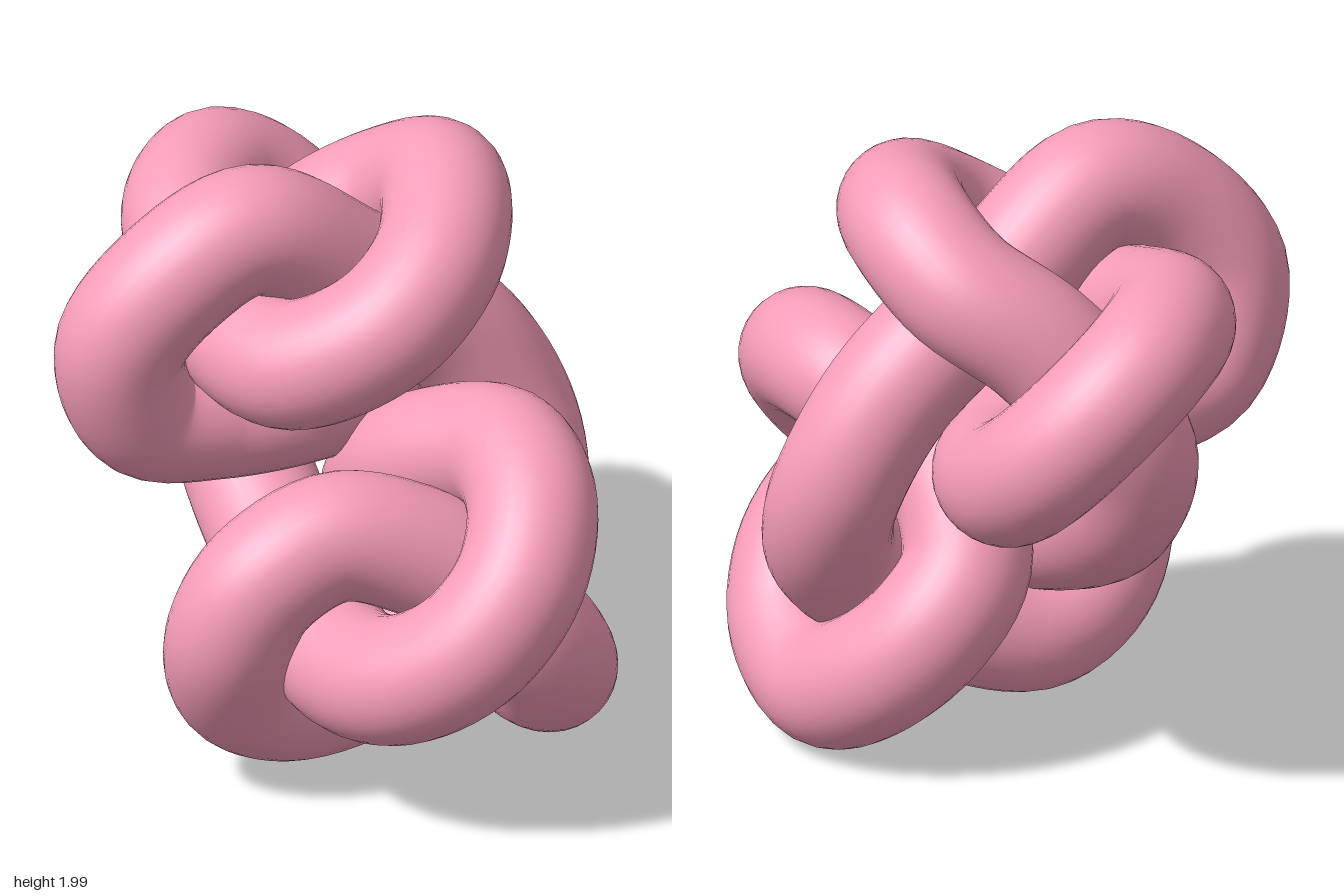
import * as THREE from 'three';

// Centre line of one closed, tightly pulled knot
const path = [
  // upper front band
  [-0.28, 1.41, 0], [-0.13, 1.56, 0.24], [0.1, 1.71, 0.26],
  [0.36, 1.79, 0.06], [0.425, 1.68, -0.17], [0.31, 1.5, -0.41],
  // drop down the back
  [0.13, 1.14, -0.61], [0.04, 0.86, -0.49], [-0.19, 0.58, -0.06],
  // lower front band
  [-0.34, 0.48, 0.25], [-0.385, 0.53, 0.52], [-0.3, 0.68, 0.73], [-0.15, 0.87, 0.8],
  [0.03, 1.04, 0.7], [0.16, 1.09, 0.47], [0.16, 0.93, 0.1],
  // lower right ring
  [0.3, 0.66, -0.11], [0.45, 0.49, -0.08], [0.52, 0.31, 0.09], [0.47, 0.2, 0.31],
  [0.33, 0.29, 0.53], [0.18, 0.47, 0.6], [0.04, 0.67, 0.52],
  // lower left ring
  [-0.12, 0.82, 0.38], [-0.33, 0.9, 0.21], [-0.53, 0.78, 0.08], [-0.58, 0.58, 0],
  [-0.44, 0.33, -0.07], [-0.2, 0.22, -0.02], [0.12, 0.36, 0.2],
  // rising strand on the front
  [0.39, 0.6, 0.32], [0.51, 0.78, 0.265], [0.54, 0.98, 0.185],
  [0.43, 1.25, 0.08], [0.1, 1.55, -0.09],
  // upper left ring
  [-0.22, 1.78, -0.22], [-0.44, 1.67, -0.34], [-0.56, 1.43, -0.46],
  [-0.44, 1.15, -0.46], [-0.22, 1.09, -0.36],
  // upper back ring
  [0.02, 1.09, -0.23], [0.32, 1.05, -0.25], [0.51, 1.12, -0.43], [0.57, 1.27, -0.61],
  [0.47, 1.46, -0.76], [0.29, 1.57, -0.8], [0.03, 1.56, -0.69], [-0.2, 1.41, -0.32],
];

export function createModel() {
  const group = new THREE.Group();
  group.name = 'knot';

  // One round tube swept along the closed line
  const points = path.map(([x, y, z]) => new THREE.Vector3(x, y, z));
  const curve = new THREE.CatmullRomCurve3(points, true, 'centripetal');
  const tube = new THREE.Mesh(
    new THREE.TubeGeometry(curve, 360, 0.203, 32, true),
    new THREE.MeshStandardMaterial({ color: 0xf79db9 })
  );
  tube.name = 'knottedTube';
  group.add(tube);
  return group;
}
